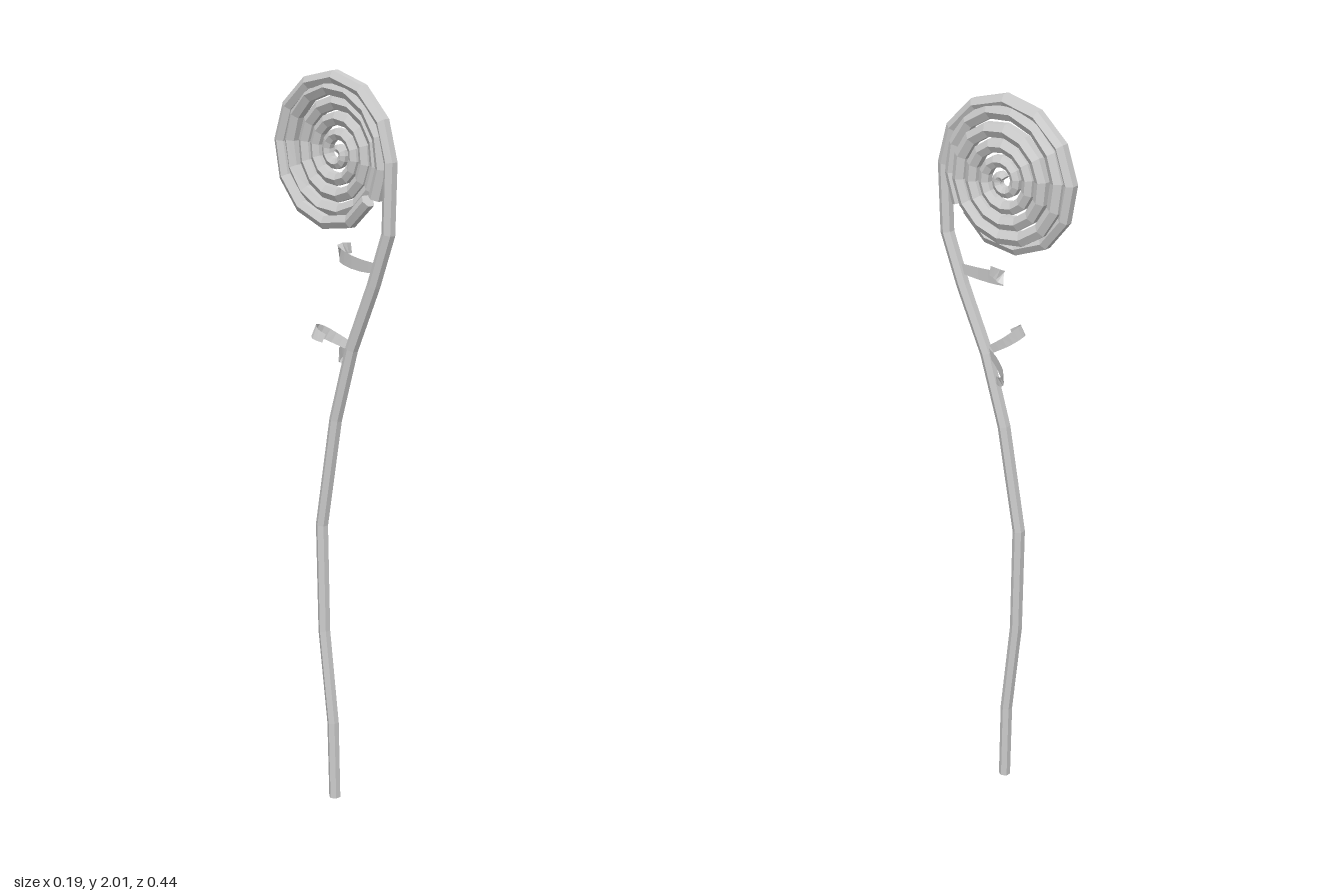
import * as THREE from 'three';

const material = new THREE.MeshStandardMaterial({ color: 0xcccccc, flatShading: true, side: THREE.DoubleSide });
const V = (x, y, z) => new THREE.Vector3(x, y, z);
const CENTER_Y = 1.787, CENTER_Z = -0.003;

// The coil lies in an upright plane turned slightly about y
const planeX = (z) => 0.0225 - 0.17 * z;
const normal = V(1, 0, 0.17).normalize();

// Point on the coil: angle runs from +z (0) over the top (PI/2) to -z
function coilPoint(angle, radius, offset = 0) {
  const z = CENTER_Z + Math.cos(angle) * radius;
  return V(planeX(z) + offset, CENTER_Y + Math.sin(angle) * radius, z);
}

function tangent(points, i) {
  const a = points[Math.max(i - 1, 0)], b = points[Math.min(i + 1, points.length - 1)];
  return b.clone().sub(a).normalize();
}

function makeMesh(name, positions, index) {
  const geometry = new THREE.BufferGeometry();
  geometry.setAttribute('position', new THREE.Float32BufferAttribute(positions, 3));
  geometry.setIndex(index);
  geometry.computeVertexNormals();
  const mesh = new THREE.Mesh(geometry, material);
  mesh.name = name;
  return mesh;
}

// Six-sided capped tube along points, with a radius per point
function tube(name, points, radiusAt) {
  const sides = 6, positions = [], index = [];
  points.forEach((p, i) => {
    const t = tangent(points, i);
    const out = new THREE.Vector3().crossVectors(t, normal).normalize();
    const side = new THREE.Vector3().crossVectors(out, t);
    const r = radiusAt(i / (points.length - 1));
    for (let s = 0; s < sides; s++) {
      const a = (s / sides) * Math.PI * 2;
      const v = p.clone().addScaledVector(side, Math.cos(a) * r).addScaledVector(out, Math.sin(a) * r);
      positions.push(v.x, v.y, v.z);
      if (i === 0) continue;
      const n = (s + 1) % sides, A = (i - 1) * sides, B = i * sides;
      index.push(A + s, A + n, B + s, A + n, B + n, B + s);
    }
  });
  const last = (points.length - 1) * sides;
  for (let s = 1; s < sides - 1; s++) {
    index.push(0, s + 1, s, last, last + s, last + s + 1);
  }
  return makeMesh(name, positions, index);
}

// Thin curling ribbon, widened along a fixed direction
function ribbon(name, controls, widthDir, width) {
  const points = new THREE.CatmullRomCurve3(controls).getPoints(10);
  const positions = [], index = [];
  points.forEach((p, i) => {
    const t = tangent(points, i);
    const w = widthDir.clone().addScaledVector(t, -widthDir.dot(t)).normalize();
    const u = i / (points.length - 1);
    const half = width * 0.5 * (0.75 + 0.3 * Math.sin(Math.PI * u));
    for (const s of [-1, 1]) {
      const v = p.clone().addScaledVector(w, s * half);
      positions.push(v.x, v.y, v.z);
    }
    if (i > 0) {
      const k = i * 2;
      index.push(k - 2, k - 1, k, k - 1, k + 1, k);
    }
  });
  return makeMesh(name, positions, index);
}

export function createModel() {
  const model = new THREE.Group();
  model.name = 'fiddleheadFern';

  // Stem, rising and then looping once around the head
  const stem = [
    V(-0.015, 0.002, 0.034), V(-0.014, 0.22, 0.027), V(-0.011, 0.48, -0.005),
    V(-0.008, 0.78, -0.015), V(-0.007, 1.08, 0.03), V(-0.008, 1.28, 0.083),
    V(-0.01, 1.46, 0.155), V(-0.013, 1.6, 0.203),
  ];
  const steps = 11;
  for (let i = 0; i <= steps; i++) {
    const a = (i / steps) * Math.PI * 1.78;
    stem.push(coilPoint(a, 0.211 - 0.0055 * a - (i === steps ? 0.01 : 0)));
  }
  model.add(tube('stem', stem, (u) => 0.016 + 0.004 * Math.min(1, u * 1.8)));

  // Inner coil, standing a little proud of the outer loop on the left
  const coil = [], turns = 4.4, perTurn = 14, count = Math.round(turns * perTurn);
  for (let i = 0; i <= count; i++) {
    const u = i / count;
    const a = -0.55 + u * turns * Math.PI * 2;
    const offset = 0.027 * THREE.MathUtils.smoothstep(u * turns, 0.1, 1.1);
    coil.push(coilPoint(a, 0.183 * (1 - u) + 0.006, offset));
  }
  model.add(tube('innerCoil', coil, (u) => 0.022 - 0.008 * u * u));

  // Curling leaflets on the upper stem
  const up = V(0, 1, 0);
  model.add(ribbon('upperLeaflet', [
    V(-0.01, 1.505, 0.165), V(0.006, 1.505, 0.1), V(0.03, 1.512, 0.03),
    V(0.047, 1.522, 0.0), V(0.056, 1.532, 0.012), V(0.052, 1.538, 0.038),
  ], up, 0.036));
  model.add(ribbon('rightLeaflet', [
    V(-0.01, 1.29, 0.075), V(-0.028, 1.31, 0.04), V(-0.05, 1.327, 0.017),
    V(-0.075, 1.335, 0.01), V(-0.09, 1.328, 0.025), V(-0.083, 1.318, 0.048),
  ], V(0.3, 1, 0.3).normalize(), 0.032));
  model.add(ribbon('leftLeaflet', [
    V(-0.005, 1.285, 0.075), V(0.012, 1.272, 0.045), V(0.03, 1.256, 0.02),
    V(0.048, 1.243, 0.002), V(0.056, 1.235, 0.006), V(0.048, 1.232, 0.022),
  ], V(0.2, 1, -0.2).normalize(), 0.032));

  return model;
}
